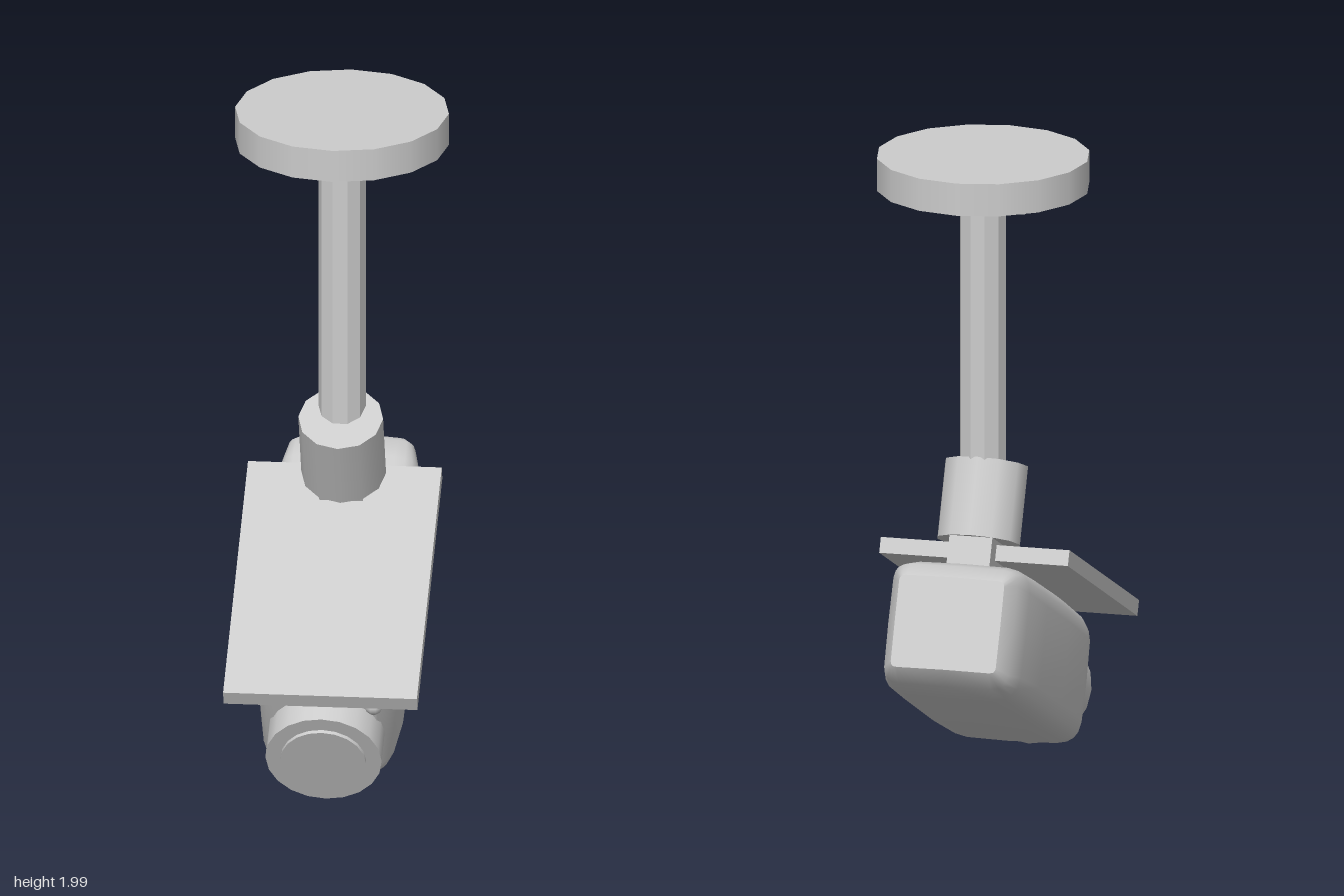
import * as THREE from 'three';

const TILT = THREE.MathUtils.degToRad(25);
const POST_Z = -0.125;

// Soft housing shell lofted from rounded-rectangle sections along its axis
function housingGeometry() {
  // [axial position, half width, half height, squareness]
  const sections = [
    [-0.79, 0.162, 0.14, 20],
    [-0.745, 0.192, 0.182, 9],
    [-0.66, 0.212, 0.203, 6],
    [-0.45, 0.22, 0.211, 5],
    [-0.15, 0.22, 0.213, 5],
    [0.12, 0.215, 0.207, 5],
    [0.21, 0.2, 0.193, 6],
    [0.265, 0.18, 0.175, 8],
    [0.295, 0.155, 0.155, 14],
  ];
  const N = 24, pos = [], idx = [];
  const ring = ([w, hx, hy, n], bulge) => {
    for (let j = 0; j < N; j++) {
      const a = (j / N) * Math.PI * 2, c = Math.cos(a), s = Math.sin(a);
      const x = Math.sign(c) * Math.abs(c) ** (2 / n) * hx;
      const y = Math.sign(s) * Math.abs(s) ** (2 / n) * hy;
      pos.push(x, y, w - bulge * (1 - Math.abs(x) / hx));
    }
  };
  sections.forEach((s, i) => ring(s, i === 0 ? 0.015 : 0));
  for (let i = 0; i < sections.length - 1; i++) {
    for (let j = 0; j < N; j++) {
      const a = i * N + j, b = i * N + ((j + 1) % N);
      idx.push(a, b, a + N, b, b + N, a + N);
    }
  }
  // End panels with their own vertices, so their rims stay crisp
  const cap = (section, bulge, front) => {
    const start = pos.length / 3;
    ring(section, bulge);
    pos.push(0, 0, section[0] - bulge);
    for (let j = 0; j < N; j++) {
      const a = start + j, b = start + ((j + 1) % N);
      idx.push(start + N, front ? a : b, front ? b : a);
    }
  };
  cap(sections[0], 0.015, false);
  cap(sections[sections.length - 1], 0, true);
  const g = new THREE.BufferGeometry();
  g.setAttribute('position', new THREE.Float32BufferAttribute(pos, 3));
  g.setIndex(idx);
  g.computeVertexNormals();
  return g;
}

export function createModel() {
  const model = new THREE.Group();
  model.name = 'securityCamera';
  const grey = new THREE.MeshStandardMaterial({ color: 0xcccccc });
  grey.name = 'light grey';

  const add = (parent, name, geometry, x, y, z) => {
    const mesh = new THREE.Mesh(geometry, grey);
    mesh.name = name;
    mesh.position.set(x, y, z);
    parent.add(mesh);
    return mesh;
  };
  const faceted = (r, h, sides) =>
    new THREE.CylinderGeometry(r, r, h, sides).rotateY(Math.PI / 2).toNonIndexed();
  const flat = (g) => { g.computeVertexNormals(); return g; };
  const axial = (r, h, sides) =>
    new THREE.CylinderGeometry(r, r, h, sides).rotateX(Math.PI / 2);

  // Ceiling mount
  add(model, 'ceilingPlate', new THREE.CylinderGeometry(0.32, 0.32, 0.1, 16), 0, 1.95, POST_Z);
  for (const sx of [-1, 1]) {
    for (const sz of [-1, 1]) {
      add(model, 'plateBolt', flat(faceted(0.03, 0.03, 8)), sx * 0.15, 1.89, POST_Z + sz * 0.15);
    }
  }
  add(model, 'post', flat(faceted(0.071, 0.95, 10)), 0, 1.43, POST_Z);

  // Everything below the post leans forward together
  const head = new THREE.Group();
  head.name = 'cameraHead';
  head.rotation.x = TILT;
  model.add(head);

  add(head, 'swivelCollar', faceted(0.127, 0.237, 12), 0, 0.7785, -0.506);
  add(head, 'mountBracket', new THREE.BoxGeometry(0.132, 0.13, 0.21), 0, 0.605, -0.505);
  add(head, 'sunShield', new THREE.BoxGeometry(0.58, 0.048, 0.94), 0, 0.624, -0.077);
  add(head, 'housing', housingGeometry(), 0, 0.365, 0);

  // Lens barrel, glass and status lamp on the front
  add(head, 'lensBarrel', axial(0.174, 0.14, 20), 0, 0.367, 0.32);
  add(head, 'lensGlass', axial(0.128, 0.03, 20), 0, 0.367, 0.387);
  add(head, 'statusLamp', new THREE.SphereGeometry(0.027, 10, 8), 0.148, 0.51, 0.3);

  return model;
}
